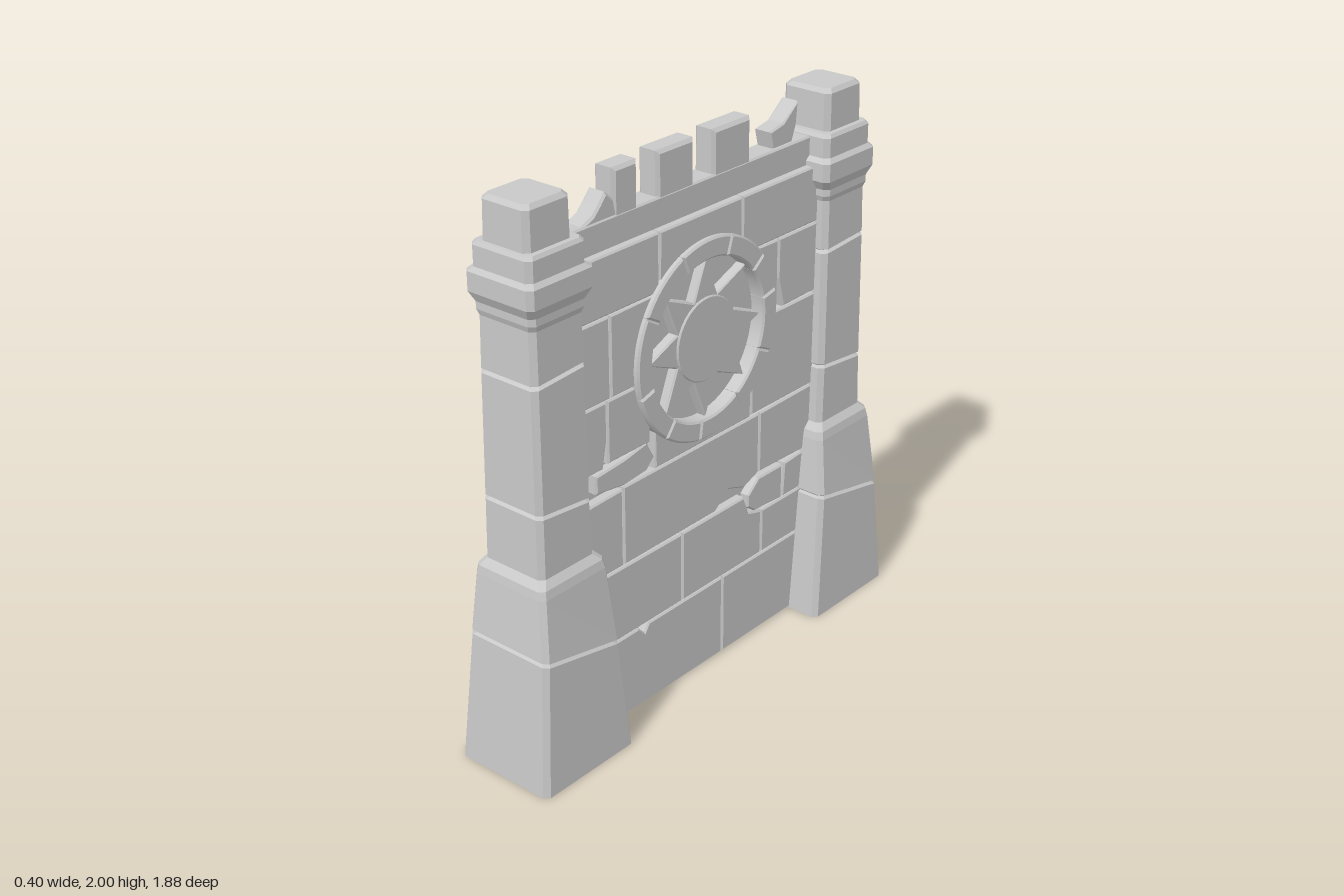
import * as THREE from 'three';

const stone = new THREE.MeshStandardMaterial({ color: 0xc8c8c8, side: THREE.DoubleSide });
stone.name = 'greyStone';

// Medallion centre and the radius of its recess
const CX = 0.01, CY = 1.29, R = 0.33;

function add(parent, geometry, name) {
  const mesh = new THREE.Mesh(geometry, stone);
  mesh.name = name;
  parent.add(mesh);
  return mesh;
}

// Bevelled slab of a 2D outline, its front at z = front and its back at z = back
function slab(shape, back, front, bevel = 0.006, gap = 0.002, curveSegments = 12) {
  const geo = new THREE.ExtrudeGeometry(shape, {
    depth: front - back - 2 * bevel, bevelEnabled: true, bevelSegments: 1,
    bevelThickness: bevel, bevelSize: bevel, bevelOffset: -bevel - gap, curveSegments,
  });
  return geo.translate(0, 0, back + bevel);
}

const poly = (pts) => new THREE.Shape(pts.map(([x, y]) => new THREE.Vector2(x, y)));
const rect = (x0, x1, y0, y1) => poly([[x0, y0], [x1, y0], [x1, y1], [x0, y1]]);

// Brick whose inner edge follows the recess: outer edge a, inner edge b, from c to d
function arcBrick(a, b, c, d, vertical = false) {
  const [cu, cv] = vertical ? [CY, CX] : [CX, CY];
  const side = Math.sign(a - cu);
  const pts = [[a, c], [a, d]];
  for (let i = 0; i <= 10; i++) {
    const v = d + (c - d) * i / 10;
    const arc = Math.sqrt(Math.max(0, R * R - (v - cv) ** 2));
    pts.push([cu + side * Math.max(Math.abs(b - cu), arc), v]);
  }
  return poly(vertical ? pts.map(([u, v]) => [v, u]) : pts);
}

// Courses shared by both wall faces; m = 1 or -1 mirrors them
function lowerBricks(m) {
  const list = [
    [[-0.6, 0], [0.11, 0], [0.11, 0.32], [-0.29, 0.32], [-0.31, 0.29], [-0.34, 0.32], [-0.6, 0.32]],
    [[0.11, 0], [0.6, 0], [0.6, 0.32], [0.11, 0.32]],
    [[-0.6, 0.32], [-0.11, 0.32], [-0.11, 0.595], [-0.6, 0.6]],
    [[-0.11, 0.32], [0.33, 0.32], [0.33, 0.5], [0.26, 0.52], [0.23, 0.595], [-0.11, 0.595]],
    [[0.33, 0.32], [0.6, 0.32], [0.6, 0.5], [0.33, 0.5]],
    [[0.25, 0.54], [0.29, 0.51], [0.45, 0.5], [0.45, 0.64], [0.31, 0.64], [0.25, 0.59]],
    [[0.45, 0.5], [0.61, 0.5], [0.61, 0.65], [0.46, 0.64]],
    [[-0.61, 0.6], [-0.41, 0.6], [-0.41, 0.895], [-0.61, 0.89]],
    [[-0.41, 0.6], [0.07, 0.6], [0.14, 0.66], [0.23, 0.63], [0.31, 0.66], [0.31, 0.9], [-0.41, 0.9]],
    [[0.31, 0.66], [0.62, 0.65], [0.62, 0.905], [0.31, 0.9]],
  ];
  return list.map((p) => poly(p.map(([x, y]) => [m * x, y])));
}

function medallion() {
  const g = new THREE.Group();
  g.name = 'sunMedallion';
  // Rim of separate arc stones
  const cuts = [12, 38, 72, 112, 150, 196, 232, 262, 300, 335, 372].map((a) => a * Math.PI / 180);
  for (let i = 0; i < cuts.length - 1; i++) {
    const s = new THREE.Shape();
    s.absarc(0, 0, 0.362, cuts[i], cuts[i + 1], false);
    s.absarc(0, 0, 0.288, cuts[i + 1], cuts[i], true);
    add(g, slab(s, 0.03, 0.095, 0.007, 0.0005, 8), 'rimStone');
  }
  // Eight-pointed star and its disc
  const star = [];
  for (let i = 0; i < 16; i++) {
    const a = Math.PI / 2 + i * Math.PI / 8, r = i % 2 ? 0.16 : 0.292;
    star.push([r * Math.cos(a), r * Math.sin(a)]);
  }
  add(g, slab(poly(star), 0.03, 0.076, 0.006, 0), 'sunRays');
  const disc = new THREE.Shape();
  disc.absarc(0, 0, 0.152, 0, Math.PI * 2, false);
  add(g, slab(disc, 0.03, 0.083, 0.004, 0, 20), 'sunDisc');
  g.position.set(CX, CY, 0);
  return g;
}

// Wall faces are laid out in x, y facing +z, then turned to face sideways
function wallFace(name, bricks, turn) {
  const g = new THREE.Group();
  g.name = name;
  bricks.forEach((s) => add(g, slab(s, 0.03, 0.075), 'brick'));
  g.rotation.y = turn * Math.PI / 2;
  return g;
}

// Pillar section rows: y, x0, x1, z0, z1, tilt of the joint
const seam = (y, x0, x1, z0, z1, t) => [
  [y - 0.008, x0, x1, z0, z1, t],
  [y, x0 + 0.012, x1 - 0.012, z0 + 0.012, z1 - 0.012, t],
  [y + 0.008, x0, x1, z0, z1, t]];
const pillarRows = [
  [0, -0.2, 0.2, 0.51, 0.94, 0],
  ...seam(0.455, -0.168, 0.182, 0.55, 0.905, 0.2),
  [0.705, -0.158, 0.153, 0.57, 0.88, 0],
  [0.735, -0.152, 0.146, 0.576, 0.875, 0],
  [0.76, -0.135, 0.125, 0.6, 0.852, 0],
  ...seam(0.97, -0.133, 0.122, 0.606, 0.849, 0.1),
  ...seam(1.43, -0.128, 0.118, 0.61, 0.845, -0.06),
  [1.61, -0.125, 0.115, 0.613, 0.843, 0],
  [1.63, -0.132, 0.122, 0.605, 0.85, 0],
  [1.655, -0.132, 0.122, 0.605, 0.85, 0],
  [1.69, -0.146, 0.136, 0.582, 0.868, 0],
  [1.755, -0.146, 0.136, 0.582, 0.868, 0],
  [1.77, -0.131, 0.121, 0.6, 0.854, 0],
  [1.84, -0.131, 0.121, 0.6, 0.854, 0],
  [1.852, -0.122, 0.112, 0.61, 0.846, 0],
  [1.853, -0.105, 0.095, 0.633, 0.834, 0],
  [1.985, -0.103, 0.093, 0.635, 0.832, 0],
  [2, -0.09, 0.08, 0.648, 0.819, 0],
];

// Chamfered square sections joined into a tapering pillar, open underneath
function pillarGeometry(s) {
  const c = 0.018;
  const loops = pillarRows.map(([y, x0, x1, a, b, t]) => {
    const [z0, z1] = s > 0 ? [a, b] : [-b, -a];
    return [[x1, z0 + c], [x1, z1 - c], [x1 - c, z1], [x0 + c, z1],
      [x0, z1 - c], [x0, z0 + c], [x0 + c, z0], [x1 - c, z0]]
      .map(([x, z]) => [x, y + t * (z - s * 0.73), z]);
  });
  const pos = [];
  for (let k = 0; k < loops.length - 1; k++) {
    const a = loops[k], b = loops[k + 1];
    for (let i = 0; i < 8; i++) {
      const j = (i + 1) % 8;
      pos.push(...a[i], ...b[i], ...b[j], ...a[i], ...b[j], ...a[j]);
    }
  }
  const top = loops[loops.length - 1];
  for (let i = 1; i < 7; i++) pos.push(...top[0], ...top[i + 1], ...top[i]);
  const geo = new THREE.BufferGeometry();
  geo.setAttribute('position', new THREE.Float32BufferAttribute(pos, 3));
  geo.computeVertexNormals();
  return geo;
}

export function createModel() {
  const model = new THREE.Group();
  model.name = 'castleWall';

  // Wall core behind the bricks
  add(model, new THREE.BoxGeometry(0.08, 1.74, 1.24).translate(0, 0.87, 0), 'wallCore');

  // Face with the medallion
  const sunFace = wallFace('medallionFace', [
    ...lowerBricks(1),
    poly([[-0.54, 0.92], [-0.4, 0.9], [-0.29, 0.91], [-0.25, 0.95], [-0.29, 1.02], [-0.4, 1], [-0.54, 0.99]]),
    poly([[-0.62, 1], [-0.5, 1], [-0.48, 1.1], [-0.48, 1.24], [-0.62, 1.24]]),
    arcBrick(-0.48, -0.27, 1.01, 1.24),
    arcBrick(0.9, 1.24, -0.25, 0.26, true),
    arcBrick(0.62, 0.26, 0.905, 1.265),
    rect(-0.62, -0.46, 1.24, 1.53),
    arcBrick(-0.46, -0.2, 1.24, 1.53),
    arcBrick(0.4, 0.2, 1.265, 1.53),
    poly([[0.43, 1.265], [0.62, 1.27], [0.62, 1.53], [0.4, 1.53], [0.4, 1.38]]),
    arcBrick(-0.62, -0.22, 1.53, 1.74),
    arcBrick(1.74, 1.53, -0.22, 0.2, true),
    arcBrick(0.62, 0.2, 1.53, 1.74),
  ], 1);
  sunFace.add(medallion());
  model.add(sunFace);

  // Plain face with one loose stone standing proud
  const plainFace = wallFace('plainFace', [
    ...lowerBricks(-1),
    rect(-0.62, -0.26, 0.9, 1.24), rect(-0.26, 0.27, 0.9, 1.24), rect(0.27, 0.62, 0.9, 1.24),
    rect(-0.62, -0.4, 1.24, 1.53), rect(-0.4, 0.2, 1.24, 1.53), rect(0.2, 0.62, 1.24, 1.53),
    rect(-0.62, -0.2, 1.53, 1.74), rect(-0.2, 0.22, 1.53, 1.74), rect(0.22, 0.62, 1.53, 1.74),
  ], -1);
  add(plainFace, slab(poly([[-0.47, 0.97], [-0.4, 0.95], [-0.24, 1.06], [-0.27, 1.12], [-0.44, 1.05]]),
    0.04, 0.092), 'looseStone');
  model.add(plainFace);

  // Parapet with whole and broken merlons
  const parapet = new THREE.Group();
  parapet.name = 'parapet';
  add(parapet, slab(rect(-0.62, 0.62, 1.7, 1.84), -0.045, 0.045), 'parapetCourse');
  [[-0.4, -0.28], [-0.193, -0.007], [0.083, 0.282]].forEach(([a, b]) =>
    add(parapet, slab(rect(a, b, 1.8, 1.992), -0.043, 0.043, 0.012), 'merlon'));
  add(parapet, slab(poly([[-0.57, 1.8], [-0.54, 1.84], [-0.49, 1.86], [-0.46, 1.89], [-0.43, 1.925],
    [-0.39, 1.89], [-0.37, 1.8]]), -0.035, 0.04, 0.008), 'brokenMerlon');
  add(parapet, slab(poly([[0.42, 1.8], [0.395, 1.9], [0.47, 1.915], [0.55, 1.975], [0.545, 1.89],
    [0.51, 1.8]]), -0.04, 0.03, 0.006), 'brokenMerlon');
  parapet.rotation.y = Math.PI / 2;
  model.add(parapet);

  // Pillars at both ends
  add(model, pillarGeometry(1), 'frontPillar');
  add(model, pillarGeometry(-1), 'backPillar');
  return model;
}
